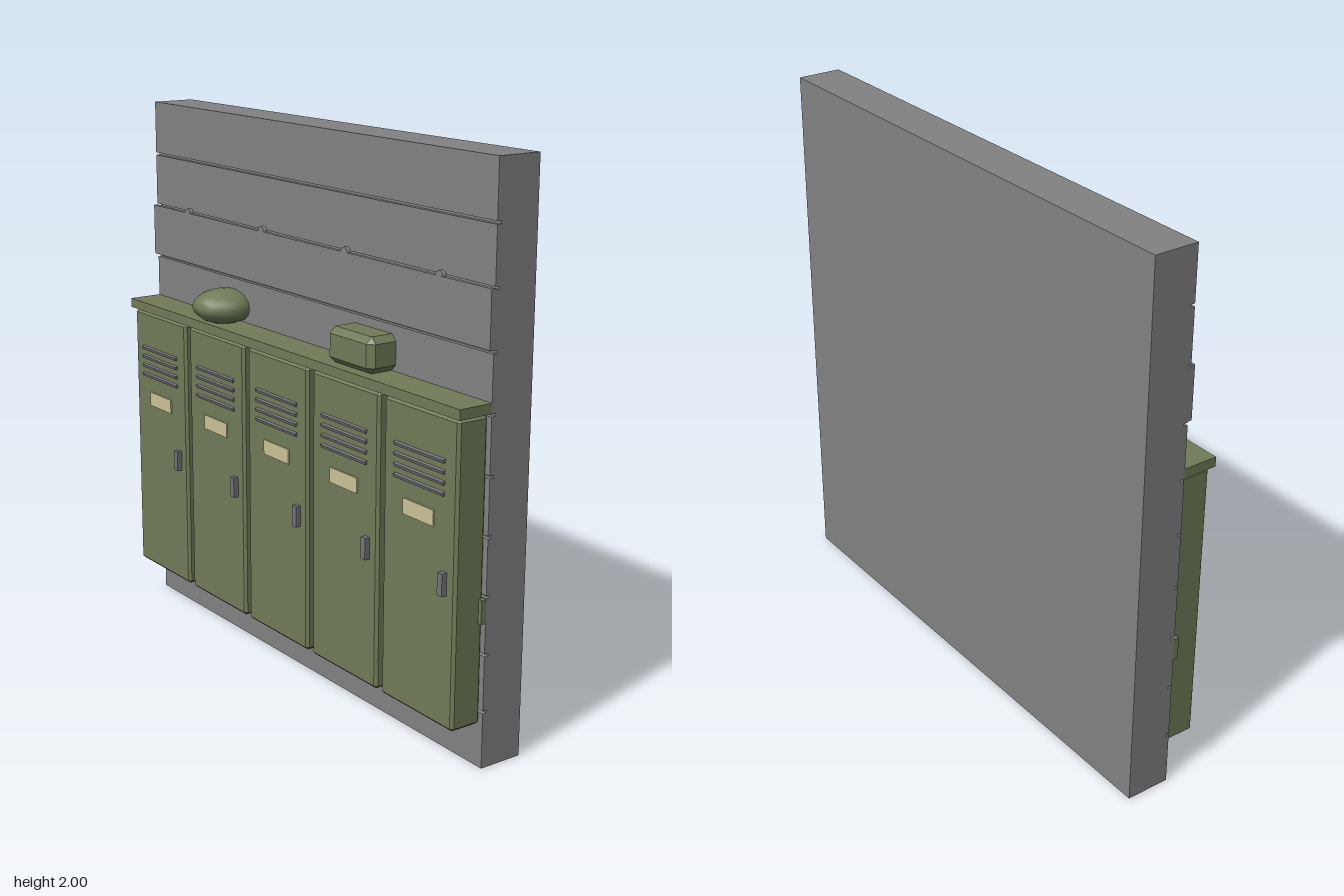
import * as THREE from 'three';
import { ConvexGeometry } from 'three/addons/geometries/ConvexGeometry.js';

const wallGrey = new THREE.MeshStandardMaterial({ color: 0x828282 });
const lockerGreen = new THREE.MeshStandardMaterial({ color: 0x707b57 });
const metalGrey = new THREE.MeshStandardMaterial({ color: 0x74747a });
const labelCream = new THREE.MeshStandardMaterial({ color: 0xcbc298 });
wallGrey.name = 'wallGrey';
lockerGreen.name = 'lockerGreen';
metalGrey.name = 'metalGrey';
labelCream.name = 'labelCream';

function add(parent, name, geometry, material, x, y, z) {
  const mesh = new THREE.Mesh(geometry, material);
  mesh.name = name;
  mesh.position.set(x, y, z);
  parent.add(mesh);
  return mesh;
}

// Plain box given by its lower and upper limits
function slab(parent, name, material, [x0, x1], [y0, y1], [z0, z1]) {
  return add(parent, name, new THREE.BoxGeometry(x1 - x0, y1 - y0, z1 - z0), material,
    (x0 + x1) / 2, (y0 + y1) / 2, (z0 + z1) / 2);
}

// Box with every edge chamfered by c
function chamferBox(w, h, d, c) {
  const points = [];
  for (const sx of [-1, 1]) for (const sy of [-1, 1]) for (const sz of [-1, 1]) {
    const x = w / 2, y = h / 2, z = d / 2;
    points.push(
      new THREE.Vector3(sx * x, sy * (y - c), sz * (z - c)),
      new THREE.Vector3(sx * (x - c), sy * y, sz * (z - c)),
      new THREE.Vector3(sx * (x - c), sy * (y - c), sz * z));
  }
  return new ConvexGeometry(points);
}

function createLocker(x) {
  const locker = new THREE.Group();
  locker.name = 'locker';
  locker.position.x = x;
  add(locker, 'lockerBody', chamferBox(0.372, 1.045, 0.12, 0.01), lockerGreen, 0, 0.6775, 0.06);
  // Vent slats
  for (let i = 0; i < 4; i++) {
    const slat = add(locker, 'ventSlat', new THREE.BoxGeometry(0.25, 0.012, 0.012), metalGrey,
      0, 0.948 + i * 0.036, 0.122);
    slat.rotation.x = 0.35;
  }
  slab(locker, 'nameLabel', labelCream, [-0.077, 0.077], [0.828, 0.882], [0.118, 0.125]);
  slab(locker, 'handle', metalGrey, [0.121, 0.145], [0.615, 0.692], [0.115, 0.14]);
  return locker;
}

export function createModel() {
  const model = new THREE.Group();
  model.name = 'lockerWall';

  // Wall with shallow grooves between its planks
  const wall = new THREE.Group();
  wall.name = 'wall';
  model.add(wall);
  slab(wall, 'wallCore', wallGrey, [-1, 1], [0, 2], [-0.163, -0.014]);
  for (let i = 0; i < 10; i++) {
    const y = i * 0.2;
    slab(wall, 'wallPlank', wallGrey, [-1, 1],
      [y + (i ? 0.005 : 0), y + (i < 9 ? 0.195 : 0.2)], [-0.016, 0.001]);
  }

  // Raised board with round pegs along its upper edge
  slab(wall, 'raisedBoard', wallGrey, [-1, 1], [1.408, 1.6], [0, 0.016]);
  for (let i = 0; i < 4; i++) {
    const peg = add(wall, 'peg', new THREE.CylinderGeometry(0.02, 0.02, 0.015, 8), wallGrey,
      -0.75 + i * 0.5, 1.598, 0.0083);
    peg.rotation.x = Math.PI / 2;
  }

  // Rail behind the lockers
  slab(model, 'rail', lockerGreen, [-1, 1], [0.51, 0.592], [0, 0.02]);

  for (let i = 0; i < 5; i++) model.add(createLocker(-0.8 + i * 0.4));

  // Shelf and the things on it
  slab(model, 'shelf', lockerGreen, [-1, 1], [1.205, 1.24], [0, 0.13]);
  const helmet = add(model, 'helmet', new THREE.SphereGeometry(0.118, 12, 8), lockerGreen,
    -0.455, 1.295, 0.045);
  helmet.scale.y = 0.55;
  add(model, 'kitBox', chamferBox(0.245, 0.125, 0.15, 0.022), lockerGreen, 0.398, 1.302, 0.032);

  return model;
}
